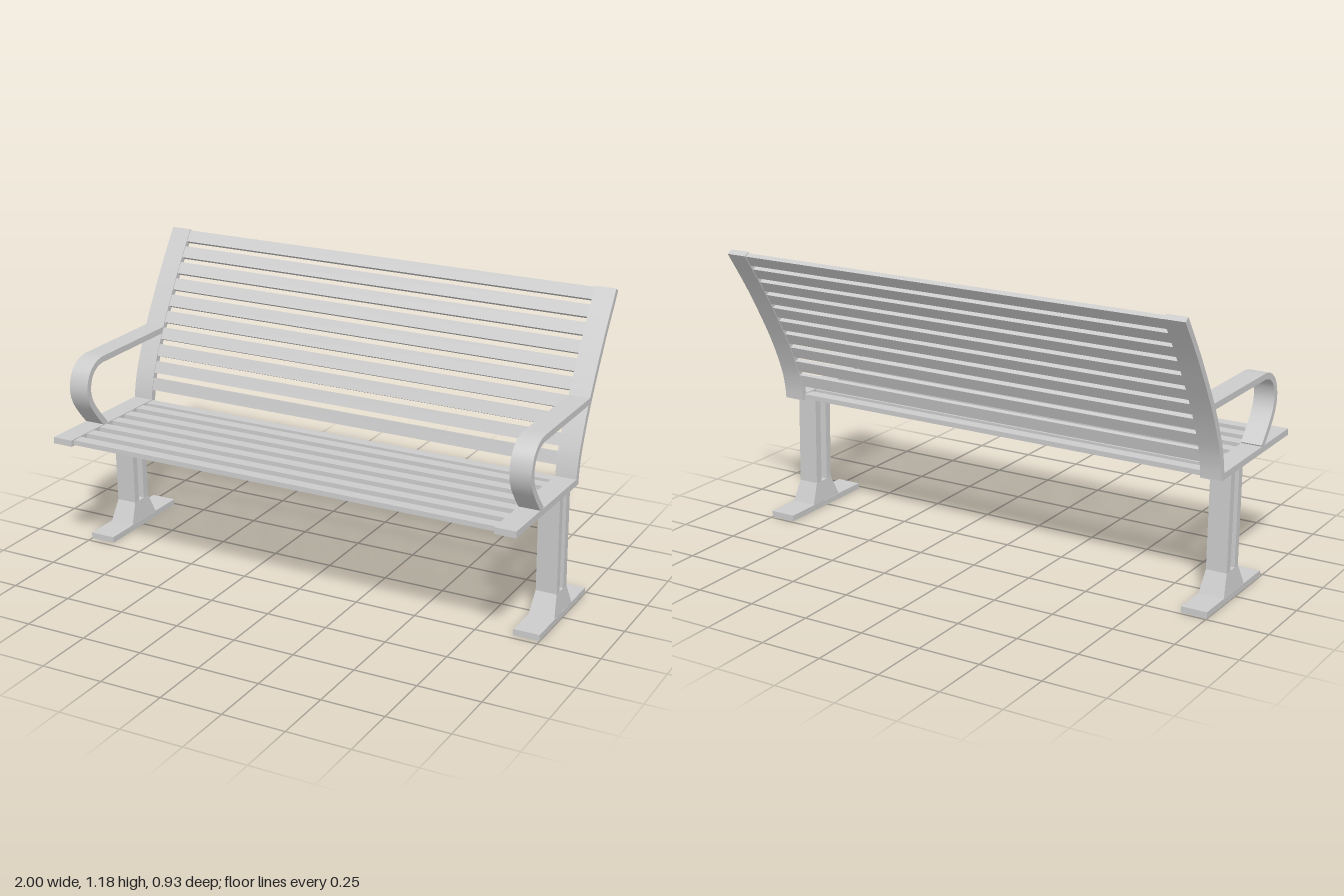
import * as THREE from 'three';
import { toCreasedNormals } from 'three/addons/utils/BufferGeometryUtils.js';

const material = new THREE.MeshStandardMaterial({ color: 0xcccccc });
const FRAME_X = 0.947, FRAME_W = 0.085;
const SLAT_L = 1.81;

const vec = ([z, y]) => new THREE.Vector2(z, y);

function addMesh(parent, name, geometry) {
  const mesh = new THREE.Mesh(geometry, material);
  mesh.name = name;
  parent.add(mesh);
  return mesh;
}

// Side profile in (z, y), extruded along x and centred on x = 0
function sideProfile(points, width = FRAME_W) {
  const geo = new THREE.ExtrudeGeometry(new THREE.Shape(points), { depth: width, bevelEnabled: false });
  geo.rotateY(-Math.PI / 2).translate(width / 2, 0, 0);
  return toCreasedNormals(geo, 0.5);
}

// Closed outline of a flat bar of even thickness that follows a path
function barOutline(path, thickness) {
  const a = [], b = [];
  path.forEach((p, i) => {
    const t = path[Math.min(i + 1, path.length - 1)].clone().sub(path[Math.max(i - 1, 0)]).normalize();
    const n = new THREE.Vector2(-t.y, t.x).multiplyScalar(thickness / 2);
    a.push(p.clone().add(n));
    b.unshift(p.clone().sub(n));
  });
  return [...a, ...b];
}

// Box whose top and bottom have different x and z extents
function flare(y0, y1, bottom, top) {
  const geo = new THREE.BoxGeometry(1, 1, 1);
  const p = geo.attributes.position;
  for (let i = 0; i < p.count; i++) {
    const up = p.getY(i) > 0, s = up ? top : bottom;
    p.setXYZ(i, p.getX(i) * s.w, up ? y1 : y0, p.getZ(i) > 0 ? s.front : s.back);
  }
  geo.computeVertexNormals();
  return geo;
}

export function createModel() {
  const model = new THREE.Group();
  model.name = 'bench';

  const backCurve = new THREE.SplineCurve([
    [-0.122, 0.5], [-0.129, 0.56], [-0.153, 0.645], [-0.218, 0.79],
    [-0.335, 0.993], [-0.455, 1.173],
  ].map(vec));
  const armCurve = new THREE.SplineCurve([
    [0.23, 0.8], [0.274, 0.789], [0.313, 0.755], [0.33, 0.7],
    [0.318, 0.645], [0.28, 0.588], [0.224, 0.524],
  ].map(vec));

  // End frames: seat rail, back upright, armrest, twin-post leg and foot
  for (const [side, s] of [['left', 1], ['right', -1]]) {
    const end = new THREE.Group();
    end.name = side + 'EndFrame';
    end.position.x = s * FRAME_X;
    model.add(end);

    addMesh(end, 'seatRail', sideProfile(
      [[0.465, 0.505], [0.465, 0.531], [-0.134, 0.521], [-0.134, 0.495]].map(vec)));
    addMesh(end, 'backUpright', sideProfile(barOutline(backCurve.getSpacedPoints(32), 0.025)));
    addMesh(end, 'armrest', sideProfile(
      barOutline([vec([-0.222, 0.8]), vec([0.2, 0.8]), ...armCurve.getSpacedPoints(32)], 0.025)));

    addMesh(end, 'frontPost', sideProfile(
      [[0.04, 0.1], [0.05, 0.505], [0.02, 0.505], [0.012, 0.1]].map(vec)));
    addMesh(end, 'rearPost', sideProfile(
      [[-0.025, 0.1], [-0.016, 0.505], [-0.048, 0.505], [-0.058, 0.1]].map(vec)));
    addMesh(end, 'footFlare', flare(0.025, 0.11,
      { w: 0.104, front: 0.08, back: -0.095 }, { w: FRAME_W, front: 0.041, back: -0.058 }));
    addMesh(end, 'footPlate', new THREE.BoxGeometry(0.106, 0.025, 0.465)).position.set(0, 0.0125, -0.0075);
  }

  // Seat slats, following the slight slope of the rails
  const slope = 0.0167;
  [0.425, 0.336, 0.247, 0.158, 0.069, -0.02, -0.095].forEach((z, i) => {
    const slat = addMesh(model, 'seatSlat' + (i + 1), new THREE.BoxGeometry(SLAT_L, 0.02, 0.048));
    slat.position.set(0, 0.51 + slope * z, z);
    slat.rotation.x = -slope;
  });

  // Back slats, evenly spaced along the curve of the uprights
  const length = backCurve.getLength();
  for (let i = 0; i < 10; i++) {
    const u = 1 - (0.029 + i * 0.0715) / length;
    const p = backCurve.getPointAt(u), t = backCurve.getTangentAt(u);
    const slat = addMesh(model, 'backSlat' + (i + 1), new THREE.BoxGeometry(SLAT_L, 0.05, 0.019));
    slat.position.set(0, p.y, p.x);
    slat.rotation.x = Math.atan2(t.x, t.y);
  }
  return model;
}
